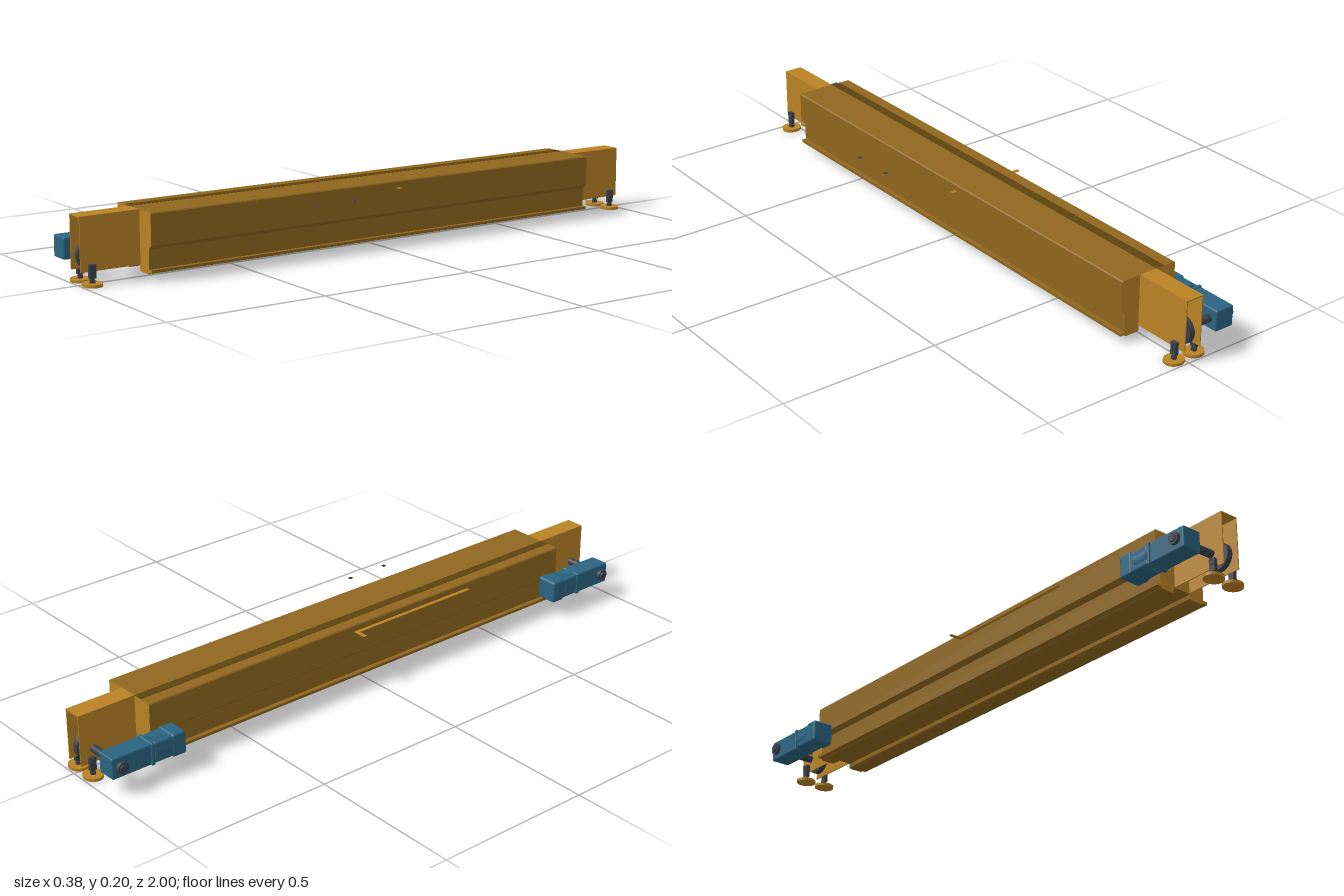
import * as THREE from 'three';
import { RoundedBoxGeometry } from 'three/addons/geometries/RoundedBoxGeometry.js';

const mat = (color) => new THREE.MeshStandardMaterial({ color });
const OCHRE = mat(0xb98325), SHADE = mat(0x8f671e), GROOVE = mat(0x5e430f);
const BLUE = mat(0x2a6480), DARK = mat(0x39414b);
const MID = -0.0125; // symmetry plane of the housing

function add(parent, name, geo, material, x = 0, y = 0, z = 0) {
  const m = new THREE.Mesh(geo, material);
  m.name = name;
  m.position.set(x, y, z);
  parent.add(m);
  return m;
}

// box from its limits
function box(parent, name, material, x0, x1, y0, y1, z0, z1) {
  return add(parent, name, new THREE.BoxGeometry(x1 - x0, y1 - y0, z1 - z0), material,
    (x0 + x1) / 2, (y0 + y1) / 2, (z0 + z1) / 2);
}

// cylinder along x between two limits
function rod(parent, name, material, r, x0, x1, y, z, sides = 32) {
  const geo = new THREE.CylinderGeometry(r, r, x1 - x0, sides).rotateZ(Math.PI / 2);
  return add(parent, name, geo, material, (x0 + x1) / 2, y, z);
}

// long girder housing with undercut sides, lips and a slot along the bottom
function buildHousing() {
  const g = new THREE.Group();
  g.name = 'housing';
  const half = [
    [0.019, 0.038], [0.030, 0.036], [0.031, 0.024], [0.035, 0.020], [0.078, 0.020], [0.082, 0.025],
    [0.0975, 0.025], [0.0975, 0.034], [0.083, 0.034], [0.083, 0.093], [0.0975, 0.105],
    [0.0975, 0.197], [0.0945, 0.2005],
  ];
  const pts = [...half, ...half.slice().reverse().map(([x, y]) => [-x, y])];
  const shape = new THREE.Shape(pts.map(([x, y]) => new THREE.Vector2(x + MID, y)));
  const geo = new THREE.ExtrudeGeometry(shape, { depth: 1.62, bevelEnabled: false });
  add(g, 'girder', geo, [OCHRE, SHADE], 0, 0, -0.81);
  // dark seam along the top
  box(g, 'topSeam', GROOVE, -0.07, -0.04, 0.199, 0.2012, -0.809, 0.809);
  return g;
}

// thin flat strips and markers beside the housing
function buildStrips() {
  const g = new THREE.Group();
  g.name = 'flatStrips';
  box(g, 'crossStrip', OCHRE, -0.155, 0.102, 0.178, 0.18, -0.056, -0.044);
  box(g, 'sideStrip', OCHRE, -0.122, -0.1, 0.178, 0.18, -0.05, 0.41);
  for (const z of [0.18, 0.32]) {
    add(g, 'marker', new THREE.CylinderGeometry(0.007, 0.007, 0.001, 16), DARK, 0.183, 0.18, z);
  }
  return g;
}

// carriage at one end: open wheel box, wheel, axle, feet and drive
function buildCarriage() {
  const g = new THREE.Group();
  g.name = 'endCarriage';

  // sheet box, open at the bottom and the outer end
  box(g, 'wheelBoxTop', OCHRE, -0.04, 0.02, 0.197, 0.201, 0.81, 1);
  box(g, 'wheelBoxSide', OCHRE, -0.04, -0.037, 0.04, 0.197, 0.81, 1);
  box(g, 'wheelBoxSide', OCHRE, 0.017, 0.02, 0.04, 0.197, 0.81, 1);

  // wheel and axle
  const zAxle = 0.955, yAxle = 0.084;
  rod(g, 'wheel', DARK, 0.042, -0.019, -0.001, yAxle, zAxle, 48);
  rod(g, 'axle', DARK, 0.012, -0.18, 0.005, yAxle, zAxle);
  rod(g, 'hub', OCHRE, 0.014, -0.001, 0.02, yAxle, zAxle);
  rod(g, 'axleCollar', DARK, 0.018, -0.187, -0.176, yAxle, zAxle);
  rod(g, 'axleEnd', DARK, 0.012, -0.191, -0.185, yAxle, zAxle);

  // levelling feet
  for (const side of [-1, 1]) {
    const x = MID + 0.002 + side * 0.037;
    const foot = new THREE.Group();
    foot.name = 'foot';
    const pad = add(foot, 'footPad', new THREE.CylinderGeometry(0.032, 0.032, 0.009, 40), OCHRE, x, 0.0045, 0.967);
    pad.scale.z = 0.9;
    add(foot, 'footNut', new THREE.CylinderGeometry(0.009, 0.009, 0.009, 6), DARK, x, 0.0135, 0.967);
    add(foot, 'footStem', new THREE.CylinderGeometry(0.006, 0.006, 0.05, 20), DARK, x, 0.034, 0.967);
    box(foot, 'footBracket', DARK, x - 0.006, x + 0.006, 0.022, 0.062, 0.957, 0.977);
    for (const y of [0.045, 0.058]) rod(foot, 'footBolt', DARK, 0.003, x - 0.009, x + 0.009, y, 0.967, 12);
    g.add(foot);
  }

  // drive: gearbox, flanges and motor in line along z
  const drive = new THREE.Group();
  drive.name = 'drive';
  const xD = -0.143;
  const block = (name, w, h, z0, z1, r) => add(drive, name,
    new RoundedBoxGeometry(w, h, z1 - z0, 3, r), BLUE, xD, yAxle, (z0 + z1) / 2);
  block('gearbox', 0.064, 0.066, 0.852, 0.985, 0.005);
  block('flange', 0.072, 0.072, 0.842, 0.854, 0.005);
  block('motorBody', 0.066, 0.066, 0.745, 0.844, 0.008);
  block('motorCover', 0.072, 0.072, 0.735, 0.782, 0.008);
  const barrel = new THREE.CylinderGeometry(0.04, 0.04, 0.05, 40).rotateX(Math.PI / 2);
  const b = add(drive, 'motorBarrel', barrel, BLUE, xD, yAxle, 0.815);
  b.scale.x = 0.88;
  g.add(drive);
  return g;
}

// mirror a group in z, keeping the faces outward
function mirrorZ(group) {
  group.traverse((o) => {
    o.position.z *= -1;
    if (!o.isMesh) return;
    // every part is symmetric in z about its own centre
    o.rotation.z *= -1;
  });
  return group;
}

export function createModel() {
  const model = new THREE.Group();
  model.name = 'endTruck';
  model.add(buildHousing(), buildStrips());
  const front = buildCarriage();
  const back = mirrorZ(buildCarriage());
  front.name = 'frontCarriage';
  back.name = 'backCarriage';
  model.add(front, back);
  return model;
}
